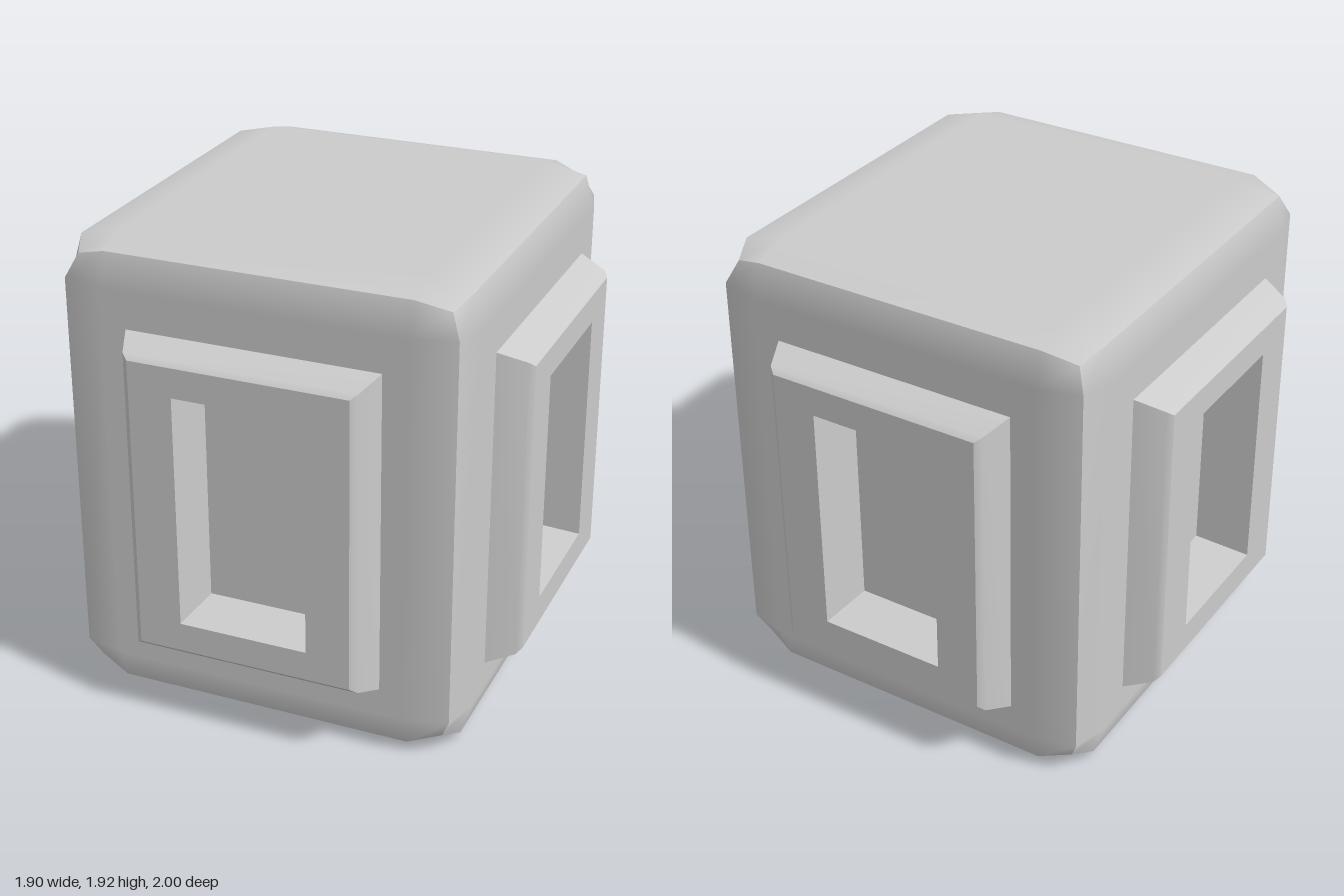
import * as THREE from 'three';
import { mergeGeometries } from 'three/addons/utils/BufferGeometryUtils.js';

const material = new THREE.MeshStandardMaterial({ color: 0xcccccc });
const CENTRE = new THREE.Vector3(0, 0.96, 0);

// Half sizes per axis: full extent, and extent of each side's flat middle
const SIZE = {
  x: { full: 0.82, flat: 0.61 },
  y: { full: 0.96, flat: 0.79 },
  z: { full: 0.87, flat: 0.69 },
};
// How far face middles, edges and corners are pulled in
const PULL = [0, 0.04, 0.08];

const axis = (name, sign) => ({
  ...SIZE[name],
  dir: new THREE.Vector3(name === 'x' ? sign : 0, name === 'y' ? sign : 0, name === 'z' ? sign : 0),
});

function place(face, a, b, c) {
  return CENTRE.clone()
    .addScaledVector(face.u.dir, a)
    .addScaledVector(face.v.dir, b)
    .addScaledVector(face.n.dir, c);
}

// Smooth sheet of rows x cols points, counter-clockwise from outside
function sheet(rows, cols, point, keep = () => true) {
  const positions = [], all = [], kept = [];
  for (let j = 0; j < rows; j++)
    for (let i = 0; i < cols; i++) positions.push(...point(i, j).toArray());
  for (let j = 0; j < rows - 1; j++)
    for (let i = 0; i < cols - 1; i++) {
      const k = j * cols + i;
      const quad = [k, k + 1, k + cols + 1, k, k + cols + 1, k + cols];
      all.push(...quad);
      if (keep(i, j)) kept.push(...quad);
    }
  const g = new THREE.BufferGeometry();
  g.setAttribute('position', new THREE.Float32BufferAttribute(positions, 3));
  g.setIndex(all);
  g.computeVertexNormals();
  g.setIndex(kept);
  return g;
}

// One softly domed side of the body, with its middle open where a panel sits
function bodySide(face, open) {
  const outer = (i) => (i === 0 || i === 3 ? 1 : 0);
  const g = sheet(4, 4, (i, j) => {
    const pull = PULL[outer(i) + outer(j)];
    const along = (ax, k) => (k < 2 ? -1 : 1) * (outer(k) ? ax.full - pull : ax.flat);
    return place(face, along(face.u, i), along(face.v, j), face.n.full - pull);
  }, (i, j) => !(open && i === 1 && j === 1));
  // The flat middle points straight out
  for (const k of [5, 6, 9, 10]) g.attributes.normal.setXYZ(k, ...face.n.dir.toArray());
  return g;
}

// Rings are [half width, half height, centre height, distance out].
// Rings in one group shade smoothly; groups meet in sharp edges.
function ringWalls(face, rings) {
  const corners = [[-1, -1], [1, -1], [1, 1], [-1, 1]];
  return corners.map((from, s) => {
    const ends = [from, corners[(s + 1) % 4]];
    return sheet(rings.length, 2, (i, j) => {
      const [w, h, mid, out] = rings[j];
      return place(face, ends[i][0] * w, mid + ends[i][1] * h, out);
    });
  });
}

// Raised bevelled frame around a deep rectangular recess
function panel(face, width, opening, floorWidth, depth) {
  const n = face.n.full, mid = -0.02, top = n + 0.13;
  const surround = [face.u.flat, face.v.flat, 0, n];
  const base = [width, 0.66, mid, n];
  const shoulder = [width - 0.045, 0.62, mid, n + 0.11];
  const rim = [width - 0.07, 0.6, mid, top];
  const mouth = [opening, 0.48, mid, top];
  const floor = [floorWidth, 0.46, mid, top - depth];
  return mergeGeometries([
    ...ringWalls(face, [surround, base]),
    ...ringWalls(face, [base, shoulder, rim]),
    ...ringWalls(face, [rim, mouth]),
    ...ringWalls(face, [mouth, floor]),
    sheet(2, 2, (i, j) => place(face, (i * 2 - 1) * floor[0], mid + (j * 2 - 1) * floor[1], floor[3])),
  ]);
}

export function createModel() {
  const group = new THREE.Group();
  const add = (name, geometry) => {
    const mesh = new THREE.Mesh(geometry, material);
    mesh.name = name;
    group.add(mesh);
  };

  const wide = [0.51, 0.263, 0.24, 0.22];
  const side = [0.54, 0.275, 0.26, 0.23];
  const up = axis('y', 1);
  const faces = [
    { name: 'front', u: axis('x', 1), v: up, n: axis('z', 1), panel: wide },
    { name: 'back', u: axis('x', -1), v: up, n: axis('z', -1), panel: wide },
    { name: 'left', u: axis('z', -1), v: up, n: axis('x', 1), panel: side },
    { name: 'right', u: axis('z', 1), v: up, n: axis('x', -1), panel: side },
    { name: 'top', u: axis('x', 1), v: axis('z', -1), n: up },
    { name: 'bottom', u: axis('x', 1), v: axis('z', 1), n: axis('y', -1) },
  ];

  // Body block
  add('body', mergeGeometries(faces.map((f) => bodySide(f, !!f.panel))));
  // Framed recesses on the four upright sides
  for (const f of faces) if (f.panel) add(f.name + 'Panel', panel(f, ...f.panel));

  return group;
}
